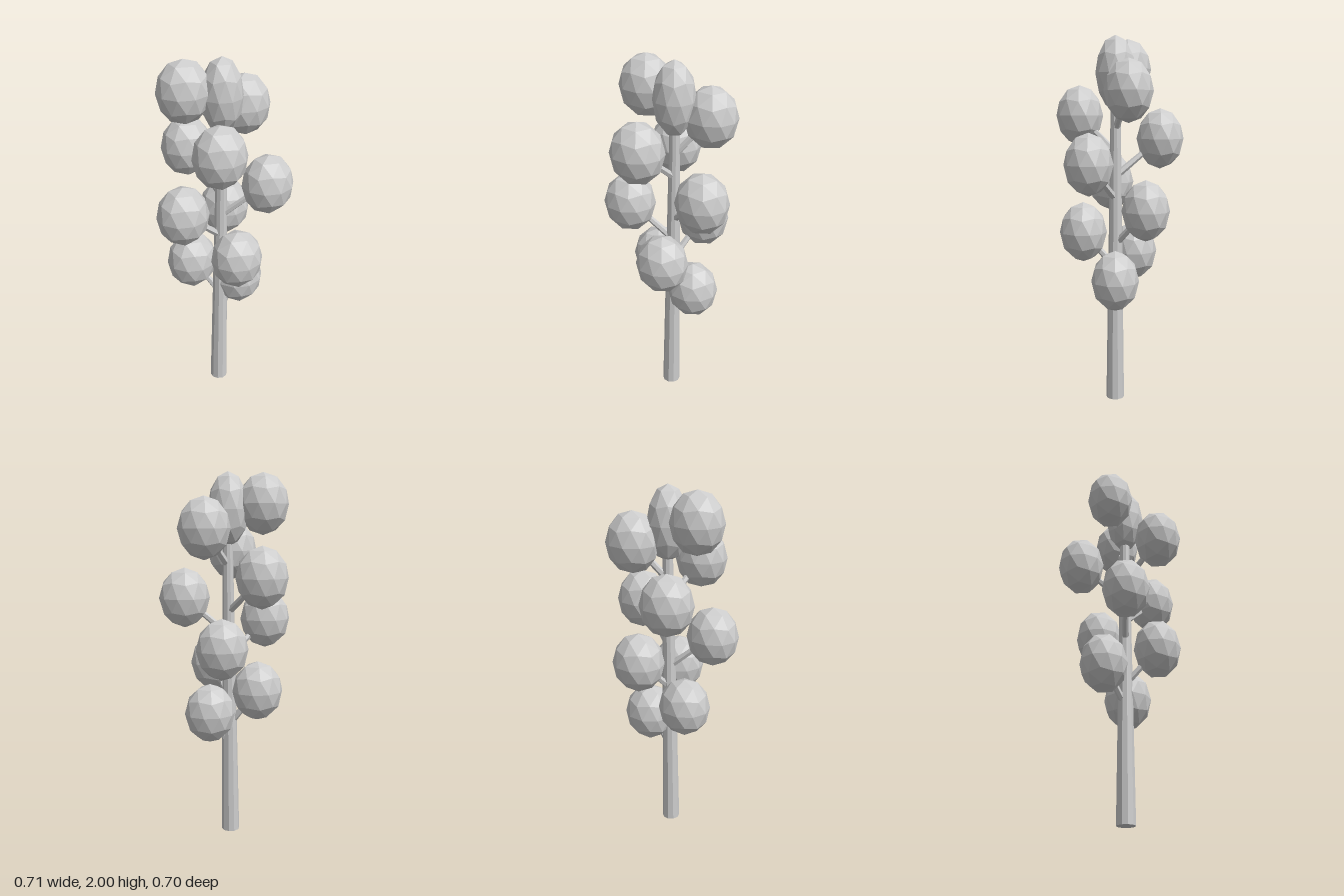
import * as THREE from 'three';

export function createModel() {
  const tree = new THREE.Group();
  tree.name = 'tree';
  const grey = new THREE.MeshStandardMaterial({ color: 0xcccccc, flatShading: true });
  grey.name = 'light grey';

  const add = (name, geometry) => {
    const mesh = new THREE.Mesh(geometry, grey);
    mesh.name = name;
    tree.add(mesh);
    return mesh;
  };

  // Tapered round bar between two points
  const bar = (name, from, to, rFrom, rTo, sides) => {
    const dir = to.clone().sub(from);
    const mesh = add(name, new THREE.CylinderGeometry(rTo, rFrom, dir.length(), sides));
    mesh.position.copy(from).addScaledVector(dir, 0.5);
    mesh.quaternion.setFromUnitVectors(new THREE.Vector3(0, 1, 0), dir.normalize());
  };

  // Faceted egg of leaves, with a corner of the icosahedron at its top
  const poleTilt = -Math.atan(2 / (1 + Math.sqrt(5)));
  const leafBall = (name, centre, rx, ry, rz) => {
    const geometry = new THREE.IcosahedronGeometry(1, 1).rotateZ(poleTilt).scale(rx, ry, rz);
    geometry.computeVertexNormals();
    add(name, geometry).position.copy(centre);
  };

  // Trunk, leaning slightly
  const base = new THREE.Vector3(0.005, 0, 0.024);
  const top = new THREE.Vector3(0.022, 1.7, 0.02);
  bar('trunk', base, top, 0.05, 0.026, 10);

  // Crown at the tip
  leafBall('topLeaves', new THREE.Vector3(0.02, 1.803, 0.02), 0.111, 0.197, 0.108);

  // Branches spiralling up the trunk, each with its leaf ball
  const balls = [
    [0.13, 0.70, 0.022], [-0.11, 0.825, -0.08], [0.018, 0.95, 0.197],
    [0.13, 1.08, -0.14], [-0.222, 1.205, 0.05], [0.219, 1.33, 0.157],
    [-0.06, 1.455, -0.222], [-0.099, 1.58, 0.219], [0.189, 1.706, -0.048],
    [-0.156, 1.832, -0.046],
  ];
  balls.forEach((p, i) => {
    const centre = new THREE.Vector3(...p);
    const start = base.clone().lerp(top, (centre.y - 0.2) / 1.7);
    bar(`branch${i + 1}`, start, centre, 0.02, 0.014, 6);
    leafBall(`leaves${i + 1}`, centre, 0.141, 0.164, 0.129);
  });
  return tree;
}
